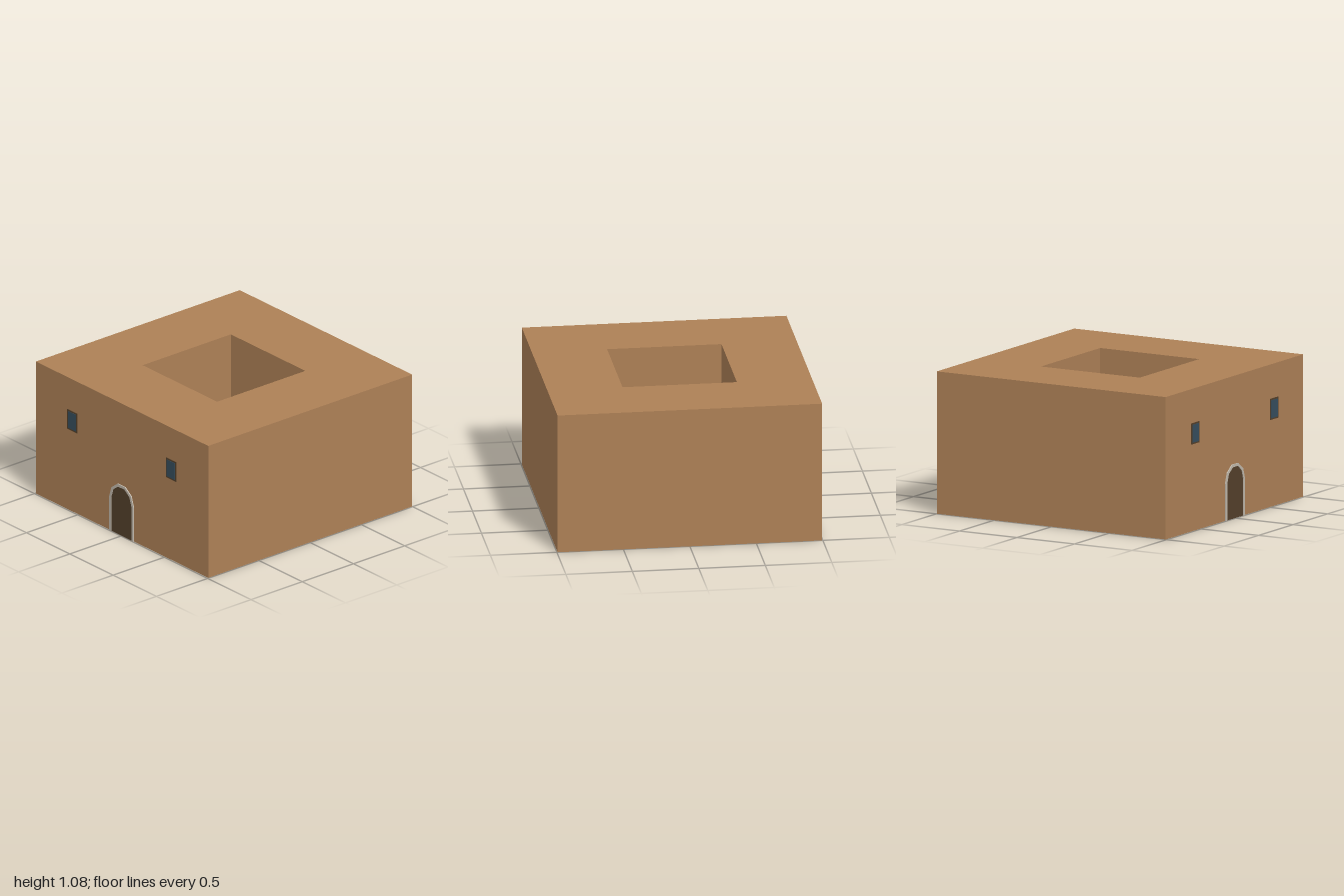
import * as THREE from 'three';

const HALF = 0.995, COURT = 0.43, HEIGHT = 1.08, FRONT = 0.995;

const mat = (name, color, side = THREE.FrontSide) => {
  const m = new THREE.MeshStandardMaterial({ color, side });
  m.name = name;
  return m;
};

// Round-headed outline made of five straight arch segments
function archPoints(r, spring) {
  const pts = [new THREE.Vector2(-r, 0), new THREE.Vector2(r, 0)];
  for (let i = 0; i <= 5; i++) {
    const a = (i * Math.PI) / 5;
    pts.push(new THREE.Vector2(r * Math.cos(a), spring + r * Math.sin(a)));
  }
  return pts;
}

const squarePoints = (h) =>
  [[-h, -h], [h, -h], [h, h], [-h, h]].map(([x, y]) => new THREE.Vector2(x, y));

export function createModel() {
  const group = new THREE.Group();
  const clay = mat('clay wall', 0xad8056, THREE.DoubleSide);
  const stone = mat('pale stone', 0xc0b7aa, THREE.DoubleSide);
  const wood = mat('dark wood', 0x54402b);
  const glass = mat('window glass', 0x364d5c);
  const water = mat('water', 0x2a68c4);

  const house = new THREE.Group();
  house.position.z = -0.005;
  group.add(house);

  const add = (name, geometry, material, x = 0, y = 0, z = 0) => {
    const mesh = new THREE.Mesh(geometry, material);
    mesh.name = name;
    mesh.position.set(x, y, z);
    house.add(mesh);
    return mesh;
  };

  // Flat roof with the courtyard opening
  const roofShape = new THREE.Shape(squarePoints(HALF));
  roofShape.holes.push(new THREE.Path(squarePoints(COURT)));
  add('roof', new THREE.ShapeGeometry(roofShape).rotateX(-Math.PI / 2), clay, 0, HEIGHT, 0);

  // Outer walls, and courtyard walls whose front and back run the full width
  const wall = (name, width, x, z, turn) => {
    add(name, new THREE.PlaneGeometry(width, HEIGHT), clay, x, HEIGHT / 2, z).rotation.y = turn;
  };
  for (const s of [1, -1]) {
    const turnZ = s > 0 ? 0 : Math.PI;
    const turnX = (s * Math.PI) / 2;
    wall(s > 0 ? 'frontWall' : 'backWall', 2 * HALF, 0, s * HALF, turnZ);
    wall(s > 0 ? 'leftWall' : 'rightWall', 2 * HALF, s * HALF, 0, turnX);
    wall('courtyardCrossWall', 2 * HALF, 0, s * COURT, turnZ);
    wall('courtyardSideWall', 2 * COURT, s * COURT, 0, turnX);
  }

  // Courtyard floor, corner posts and eight-sided pool
  add('courtyardFloor', new THREE.PlaneGeometry(2 * COURT, 2 * COURT).rotateX(-Math.PI / 2), stone, 0, 0.003, 0);
  for (const sx of [1, -1]) {
    for (const sz of [1, -1]) {
      add('cornerPost', new THREE.BoxGeometry(0.055, 0.48, 0.055), stone, sx * COURT, 0.24, sz * COURT);
    }
  }
  add('pool', new THREE.CylinderGeometry(0.14, 0.14, 0.03, 8).toNonIndexed(), water, 0, 0.019, 0)
    .geometry.computeVertexNormals();

  // Arched door with a pale surround
  const plate = (shape, depth) => new THREE.ExtrudeGeometry(shape, { depth, bevelEnabled: false });
  const spring = 0.28;
  const inner = archPoints(0.117, spring);
  const outer = archPoints(0.139, spring);
  const surround = new THREE.Shape([...outer.slice(1), outer[0], inner[0], ...inner.slice(2).reverse(), inner[1]]);
  add('doorSurround', plate(surround, 0.009), stone, 0, 0, FRONT);
  add('door', plate(new THREE.Shape(inner), 0.004), wood, 0, 0, FRONT);

  // Upper windows: wooden frame behind a smaller pane
  for (const s of [1, -1]) {
    add('windowFrame', new THREE.BoxGeometry(0.117, 0.16, 0.005), wood, s * 0.57, 0.74, FRONT + 0.0025);
    add('windowPane', new THREE.BoxGeometry(0.092, 0.136, 0.008), glass, s * 0.57, 0.74, FRONT + 0.004);
  }

  return group;
}
